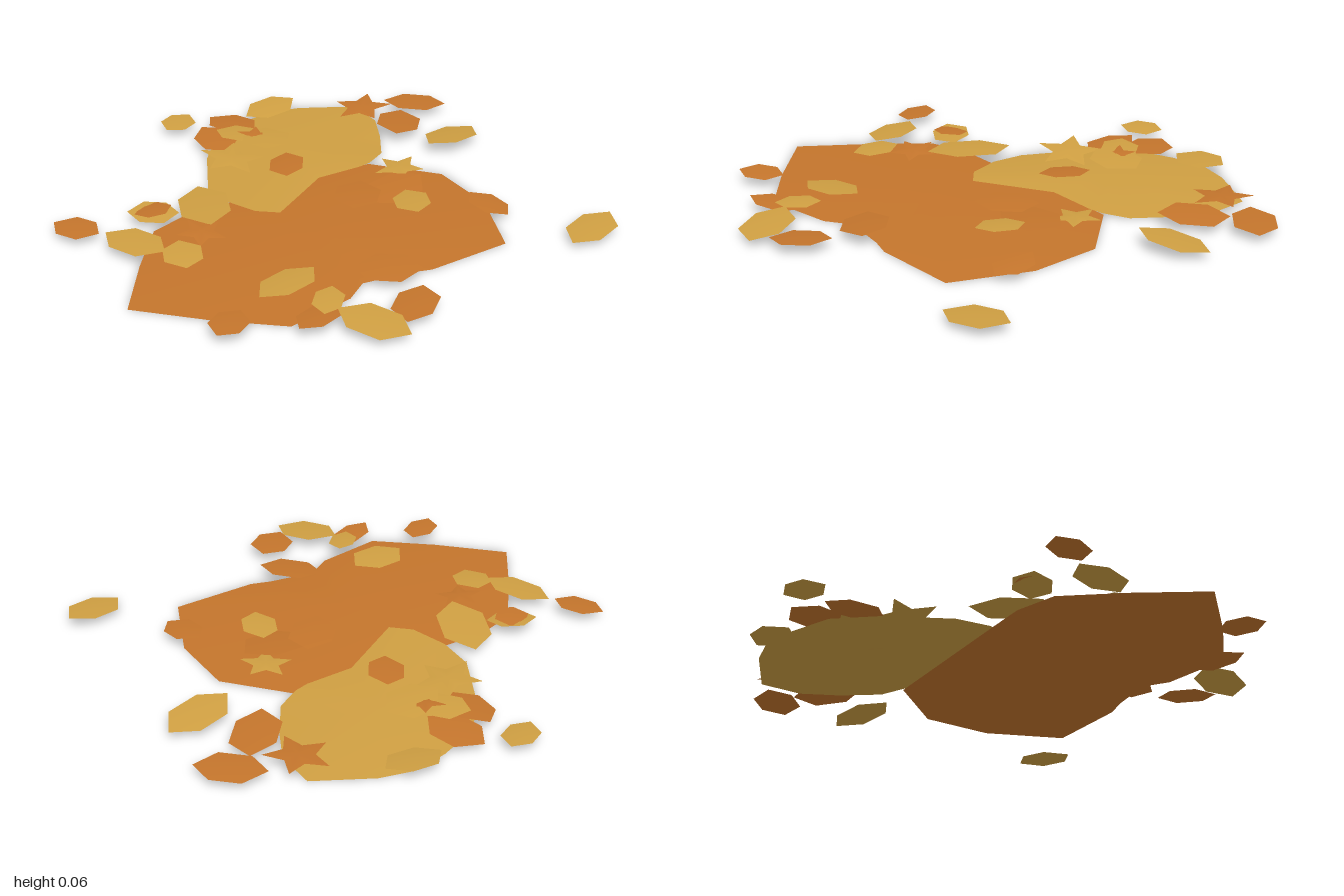
import * as THREE from 'three';

const orange = new THREE.MeshStandardMaterial({ name: 'rust orange', color: 0xc4752c, side: THREE.DoubleSide });
const gold = new THREE.MeshStandardMaterial({ name: 'golden yellow', color: 0xcf9f42, side: THREE.DoubleSide });

// Shallow fan: rim points [x, z, y] joined to a raised centre [x, z, y]
function fan(rim, centre) {
  const pos = [];
  for (const [x, z, y = 0.005] of [centre, ...rim]) pos.push(x, y, z);
  const index = [];
  for (let i = 0; i < rim.length; i++) index.push(0, 1 + ((i + 1) % rim.length), 1 + i);
  const geo = new THREE.BufferGeometry();
  geo.setAttribute('position', new THREE.Float32BufferAttribute(pos, 3));
  geo.setIndex(index);
  geo.computeVertexNormals();
  return geo;
}

// Six-sided leaf of unit length and width, and a pointed star leaf of unit radius
const leafGeo = fan([[-0.5, 0.08, 0], [-0.24, -0.46, 0], [0.2, -0.5, 0], [0.5, -0.08, 0],
  [0.26, 0.46, 0], [-0.2, 0.5, 0]], [0, 0, 0.006]);
const starGeo = fan(Array.from({ length: 10 }, (_, i) => {
  const r = i % 2 ? 0.48 : 1, a = (i * Math.PI) / 5;
  return [r * Math.cos(a), r * Math.sin(a), 0];
}), [0, 0, 0.006]);

export function createModel() {
  const model = new THREE.Group();
  model.name = 'leafPile';
  let count = 0;

  function add(name, geo, mat) {
    const mesh = new THREE.Mesh(geo, mat);
    mesh.name = name;
    model.add(mesh);
    return mesh;
  }

  // Places a loose leaf with a slight, varying tilt
  function scatter(name, geo, mat, [x, z, length, width, angle, y = 0.048]) {
    const mesh = add(name, geo, mat);
    const k = count++;
    mesh.position.set(x, y, z);
    mesh.scale.set(length, 1, width);
    mesh.rotation.set(0.09 * Math.sin(k * 2.4), -THREE.MathUtils.degToRad(angle), 0.08 * Math.cos(k * 1.7), 'YXZ');
  }

  // Two broad, low heaps
  add('orangeHeap', fan([[-0.99, 0.22], [-0.8, -0.02], [-0.62, -0.22], [-0.45, -0.26], [-0.29, -0.25],
    [0.4, -0.2], [0.59, 0.05], [0.57, 0.34], [0.42, 0.64], [0.07, 0.63], [-0.01, 0.6], [-0.2, 0.56],
    [-0.3, 0.62], [-0.58, 0.65], [-0.78, 0.46]], [-0.12, 0.22, 0.03]), orange);
  add('goldHeap', fan([[-0.27, -0.25, 0.015], [-0.26, -0.4], [-0.12, -0.63], [0.02, -0.78], [0.2, -0.84],
    [0.35, -0.86], [0.48, -0.82], [0.69, -0.69], [0.68, -0.52], [0.6, -0.38], [0.5, -0.24, 0.01],
    [0.4, -0.19, 0.015], [0.34, -0.18, 0.018], [0.14, -0.19, 0.022], [-0.16, -0.03, 0.026],
    [-0.23, -0.1, 0.024]], [0.2, -0.48, 0.035]), gold);

  // Loose leaves: x, z, length, width, angle, height
  [
    [0.73, 0.78, 0.27, 0.16, -10, 0.04], [-0.07, -0.94, 0.18, 0.13, -20, 0.04], [0.8, -0.15, 0.3, 0.17, -8],
    [-0.76, -0.12, 0.29, 0.16, 75, 0.05], [-0.66, 0.06, 0.19, 0.15, -60], [-0.39, -0.22, 0.36, 0.2, -61],
    [-0.58, -0.29, 0.2, 0.15, 40, 0.045], [-0.46, 0.45, 0.27, 0.16, -3], [-0.42, 0.65, 0.18, 0.11, -40, 0.058],
    [-0.36, 0.84, 0.29, 0.18, 70, 0.045], [0.28, 0.24, 0.2, 0.14, -60, 0.06], [0.34, -0.84, 0.25, 0.15, 5, 0.04],
    [0.06, -0.66, 0.2, 0.15, 60, 0.062], [0.13, -0.56, 0.23, 0.2, 10, 0.06],
  ].forEach((p) => scatter('goldLeaf', leafGeo, gold, p));

  [
    [-0.88, -0.36, 0.21, 0.14, 70, 0.04], [-0.58, -0.29, 0.15, 0.13, 20, 0.056], [-0.78, 0.56, 0.19, 0.13, -25],
    [-0.5, 0.7, 0.23, 0.12, -15, 0.045], [-0.17, 0.83, 0.24, 0.16, -32, 0.045], [-0.1, 0.58, 0.26, 0.18, 50],
    [0.53, 0.41, 0.21, 0.13, 90, 0.045], [0.14, 0.07, 0.25, 0.18, -40, 0.058], [0.3, 0.1, 0.3, 0.19, 0, 0.05],
    [0.07, -0.32, 0.21, 0.14, -50, 0.052], [0.7, -0.38, 0.28, 0.18, -42], [0.89, -0.51, 0.27, 0.17, 50, 0.042],
    [0.11, -0.79, 0.25, 0.17, 80, 0.046], [-0.03, -0.7, 0.25, 0.16, 100, 0.046],
  ].forEach((p) => scatter('orangeLeaf', leafGeo, orange, p));

  // Star-shaped leaves: x, z, radius, radius, angle, height
  [[-0.08, -0.5, 0.14, 0.14, 90, 0.05], [0.42, -0.02, 0.105, 0.105, 50, 0.058]]
    .forEach((p) => scatter('goldStarLeaf', starGeo, gold, p));
  [[0.66, -0.59, 0.13, 0.13, 30, 0.05], [-0.52, -0.03, 0.1, 0.1, 125, 0.055], [0.1, -0.6, 0.08, 0.08, 20, 0.062]]
    .forEach((p) => scatter('orangeStarLeaf', starGeo, orange, p));

  return model;
}
